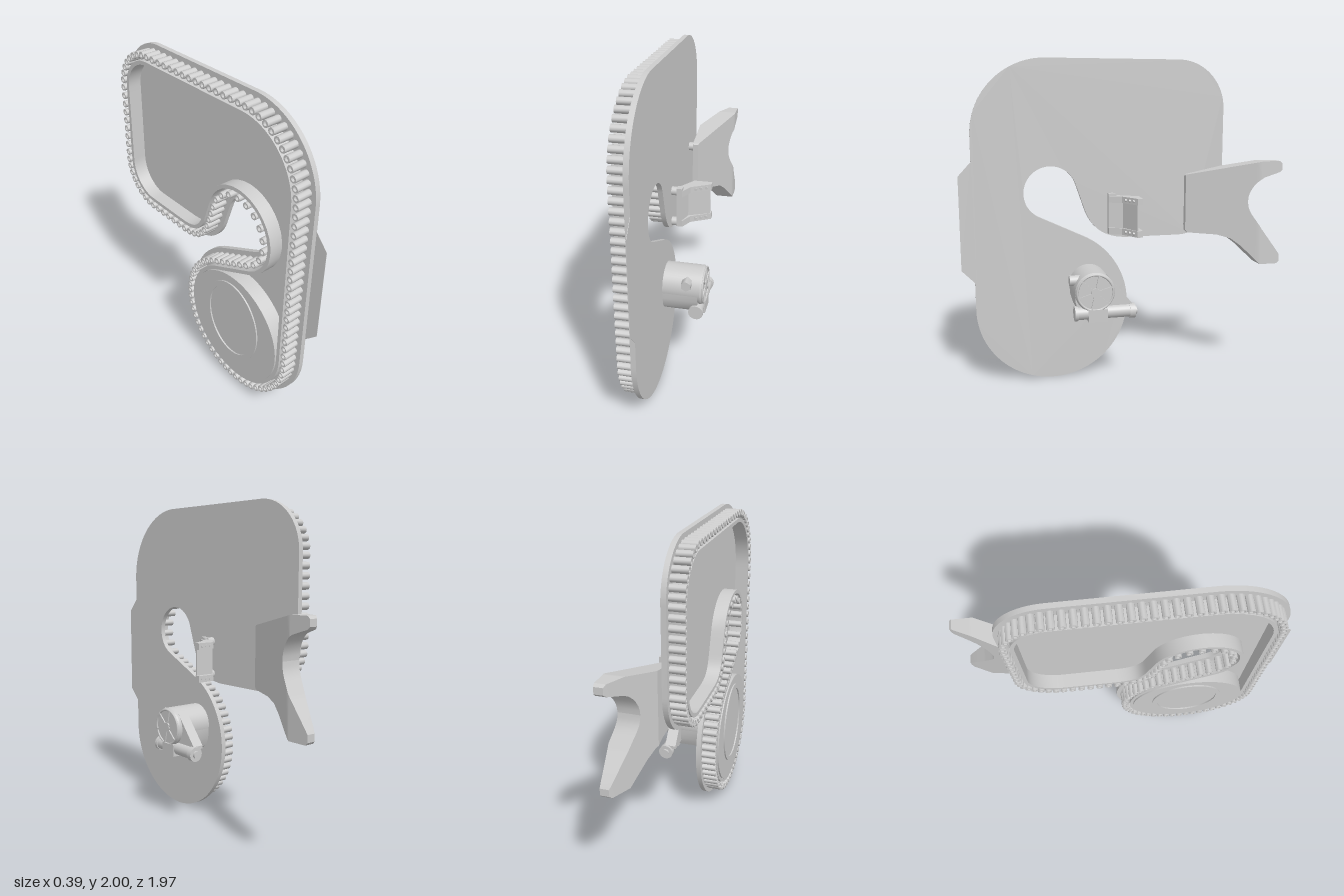
import * as THREE from 'three';
import { mergeGeometries, toCreasedNormals } from 'three/addons/utils/BufferGeometryUtils.js';

const material = new THREE.MeshStandardMaterial({ color: 0xcccccc });

function add(parent, name, geometry) {
  const mesh = new THREE.Mesh(geometry, material);
  mesh.name = name;
  parent.add(mesh);
  return mesh;
}

const polygon = points => new THREE.Shape(points.map(p => new THREE.Vector2(...p)));

// Side profile in (-z, y), extruded from x0 to x1
function slab(shape, x0, x1) {
  const g = new THREE.ExtrudeGeometry(shape, { depth: x1 - x0, bevelEnabled: false, curveSegments: 32 });
  return toCreasedNormals(g.rotateY(Math.PI / 2).translate(x0, 0, 0), 0.5);
}

// Cylinder along 'x' or 'z', starting at (x, y, z)
function rod(axis, r, length, x, y, z, sides = 24, r2 = r) {
  const g = new THREE.CylinderGeometry(r2, r, length, sides).translate(0, length / 2, 0);
  if (axis === 'x') g.rotateZ(-Math.PI / 2);
  else g.rotateX(Math.PI / 2);
  return g.translate(x, y, z);
}

function box(x0, x1, y0, y1, z0, z1) {
  return new THREE.BoxGeometry(x1 - x0, y1 - y0, z1 - z0)
    .translate((x0 + x1) / 2, (y0 + y1) / 2, (z0 + z1) / 2);
}

// Skin through rings that advance towards -z, with end caps
function loft(rings) {
  const k = rings[0].length, index = [];
  const last = (rings.length - 1) * k;
  for (let i = 0; i < rings.length - 1; i++) {
    for (let j = 0; j < k; j++) {
      const a = i * k + j, b = i * k + (j + 1) % k;
      index.push(a, a + k, b, b, a + k, b + k);
    }
  }
  for (let j = 1; j < k - 1; j++) index.push(0, j, j + 1, last, last + j + 1, last + j);
  const g = new THREE.BufferGeometry();
  g.setAttribute('position', new THREE.Float32BufferAttribute(rings.flat(2), 3));
  g.setIndex(index);
  return toCreasedNormals(g, 0.4);
}

// Linear interpolation in a list of [z, value] with falling z
function lerp(table, z) {
  for (let i = 1; i < table.length; i++) {
    const [z0, v0] = table[i - 1], [z1, v1] = table[i];
    if (z >= z1) return v0 + (v1 - v0) * (z0 - z) / (z0 - z1);
  }
  return table[table.length - 1][1];
}

// Contour of the plate, running clockwise
function contour() {
  const s = new THREE.Shape();
  s.moveTo(-0.45, 2);
  s.lineTo(0.38, 2);
  s.absarc(0.38, 1.7, 0.3, Math.PI / 2, 0, true);
  s.absarc(0.38, 1.195, 0.3, 0, -Math.PI / 2, true);
  s.lineTo(0.06, 0.895);
  s.bezierCurveTo(-0.11, 0.895, -0.19, 0.97, -0.23, 1.1);
  s.absarc(-0.435, 1.19, 0.165, 0.33, 4.28, false);
  s.absarc(-0.43, 0.477, 0.477, 1.14, -Math.PI, true);
  s.lineTo(-0.907, 1.543);
  s.absarc(-0.45, 1.543, 0.457, Math.PI, Math.PI / 2, true);
  return s;
}

// Points evenly spaced on the contour, moved inwards
function inset(path, distance, count) {
  return Array.from({ length: count }, (_, i) => {
    const t = (i + 0.5) / count;
    const p = path.getPoint(t), d = path.getTangent(t);
    return new THREE.Vector2(p.x + d.y * distance, p.y - d.x * distance);
  });
}

function buildTrack(root) {
  const path = contour();
  add(root, 'plate', slab(path, -0.095, -0.065));
  // Thin tab on the front edge, flush with the outer face
  const tab = polygon([[-0.907, 0.65], [-0.985, 0.73], [-0.985, 1.305], [-0.907, 1.39]]);
  add(root, 'edgeTab', slab(tab, -0.067, -0.065));

  // Hollow-ended rollers along the edge
  const profile = [[0.021, 0], [0.021, 0.09], [0.012, 0.09], [0.012, 0.075], [0, 0.075]];
  const roller = toCreasedNormals(
    new THREE.LatheGeometry(profile.map(p => new THREE.Vector2(...p)), 12).rotateZ(Math.PI / 2), 0.7);
  const spots = inset(path, 0.047, Math.round(path.getLength() / 0.056));
  add(root, 'rollers', mergeGeometries(spots.map(p => roller.clone().translate(-0.095, p.y, -p.x))));

  // Guide wall inside the roller row; the hole runs against the outline
  const wall = new THREE.Shape(inset(path, 0.082, 240));
  wall.holes.push(new THREE.Path(inset(path, 0.105, 240).reverse()));
  add(root, 'guideWall', slab(wall, -0.18, -0.095));

  // Round cover with a plain raised ring
  add(root, 'cover', rod('x', 0.37, 0.095, -0.188, 0.477, 0.43, 64));
  const ring = new THREE.Shape().absellipse(-0.42, 0.515, 0.23, 0.28, 0, Math.PI * 2);
  ring.holes.push(new THREE.Path().absellipse(-0.42, 0.515, 0.2, 0.25, 0, Math.PI * 2));
  add(root, 'coverRing', slab(ring, -0.197, -0.188));
}

function buildFork(root) {
  const fork = new THREE.Group();
  fork.name = 'fork';
  root.add(fork);
  const outer = [[-0.415, 0], [-0.845, 0.177], [-0.985, 0.177]];
  const inner = [[-0.415, -0.035], [-0.66, -0.035], [-0.97, 0.115], [-0.985, 0.125]];
  const top = [[-0.415, 1.285], [-0.425, 1.292], [-0.86, 1.38], [-0.97, 1.38], [-0.985, 1.365]];
  const bottom = [[-0.415, 0.935], [-0.43, 0.92], [-0.6, 0.912], [-0.68, 0.89], [-0.74, 0.845],
    [-0.855, 0.728], [-0.97, 0.728], [-0.985, 0.743]];
  const crotchTop = [[-0.775, 1.13], [-0.778, 1.16], [-0.785, 1.185], [-0.8, 1.215], [-0.82, 1.243],
    [-0.845, 1.265], [-0.87, 1.28], [-0.97, 1.311], [-0.985, 1.325]];
  const crotchBottom = [[-0.775, 1.13], [-0.778, 1.1], [-0.785, 1.075], [-0.8, 1.045], [-0.82, 1.015],
    [-0.86, 0.955], [-0.97, 0.808], [-0.985, 0.785]];
  const piece = (zs, low, high) => loft(zs.map(z => {
    const a = lerp(inner, z), b = lerp(outer, z), lo = lerp(low, z), hi = lerp(high, z);
    return [[a, lo, z], [b, lo, z], [b, hi, z], [a, hi, z]];
  }));
  const body = [-0.415, -0.425, -0.43, -0.5, -0.6, -0.64, -0.66, -0.68, -0.74, -0.775];
  const prong = [-0.775, -0.778, -0.785, -0.8, -0.82, -0.845, -0.855, -0.86, -0.87, -0.92, -0.97, -0.985];
  add(fork, 'forkBody', piece(body, bottom, top));
  add(fork, 'upperProng', piece(prong, crotchTop, top));
  add(fork, 'lowerProng', piece(prong, bottom, crotchBottom));
  for (const y of [1.26, 0.965]) add(fork, 'forkPin', rod('x', 0.027, 0.05, -0.07, y, -0.45));
}

function buildBracket(root) {
  const bracket = new THREE.Group();
  bracket.name = 'bracket';
  root.add(bracket);
  // Plan outline in (x, -z), standing from y0 to y1
  const prism = (points, y0, y1) => new THREE.ExtrudeGeometry(
    polygon(points.map(([x, z]) => [x, -z])),
    { depth: y1 - y0, bevelEnabled: false }).rotateX(-Math.PI / 2).translate(0, y0, 0);
  const web = [[-0.03, 0.085], [-0.03, 0.02], [0.03, -0.068], [0.152, -0.068], [0.152, -0.06],
    [0.025, 0], [0, 0.085]];
  const flange = [[-0.03, 0.085], [-0.03, 0.02], [0.045, -0.095], [0.158, -0.095], [0.158, -0.06],
    [0.04, 0.01], [0.005, 0.085]];
  add(bracket, 'bracketWeb', prism(web, 0.97, 1.13));
  for (const y of [0.932, 1.13]) {
    add(bracket, 'bracketFlange', prism(flange, y, y + 0.04));
    // Bolts pass through to the sloping front of the flange
    for (const x of [0.07, 0.1, 0.13]) {
      const front = -0.06 + (0.158 - x) * 0.593;
      add(bracket, 'bracketBolt', rod('z', 0.009, front + 0.104, x, y + 0.02, -0.098, 12));
    }
  }
  add(bracket, 'bracketLug', box(-0.03, 0.005, 1.17, 1.185, 0.04, 0.085));
  for (const y of [1.155, 0.95]) add(bracket, 'bracketPin', rod('x', 0.027, 0.05, -0.07, y, 0.05));
}

function buildMotor(root) {
  const motor = new THREE.Group();
  motor.name = 'motor';
  root.add(motor);
  const cy = 0.61, cz = 0.205;
  add(motor, 'drum', rod('x', 0.122, 0.23, -0.065, cy, cz, 48));
  add(motor, 'drumCap', rod('x', 0.122, 0.012, 0.165, cy, cz, 48, 0.114));
  add(motor, 'hub', rod('x', 0.028, 0.012, 0.175, cy, cz));
  for (let i = 0; i < 6; i++) {
    const spoke = add(motor, 'spoke', box(0.174, 0.185, -0.005, 0.005, 0.02, 0.112));
    spoke.position.set(0, cy, cz);
    spoke.rotation.x = i * Math.PI / 3 + 0.3;
  }
  const rim = new THREE.TorusGeometry(0.11, 0.007, 8, 48).rotateY(Math.PI / 2);
  add(motor, 'rim', rim.translate(0.178, cy, cz));

  // Rounded housing under the drum, and a gusset towards the rear collar
  const housing = polygon([[-0.326, 0.61], [-0.323, 0.55], [-0.305, 0.49], [-0.27, 0.455], [-0.22, 0.44],
    [-0.16, 0.44], [-0.115, 0.465], [-0.09, 0.52], [-0.084, 0.61]]);
  add(motor, 'housing', slab(housing, -0.065, 0.15));
  add(motor, 'gusset', slab(polygon([[-0.12, 0.7], [0.03, 0.52], [0.03, 0.5], [-0.2, 0.5]]), 0.08, 0.15));
  add(motor, 'gearboxFoot', box(0.11, 0.187, 0.43, 0.505, 0.13, 0.25));

  // Cross shaft with collars
  add(motor, 'shaft', rod('z', 0.04, 0.35, 0.143, 0.478, -0.02));
  add(motor, 'rearCollar', rod('z', 0.046, 0.035, 0.143, 0.475, -0.045));
  add(motor, 'rearNozzle', rod('z', 0.024, 0.03, 0.143, 0.475, -0.058));
  add(motor, 'frontCollar', rod('z', 0.046, 0.02, 0.143, 0.478, 0.31));

  // Hexagonal plug on the front
  add(motor, 'plug', rod('z', 0.033, 0.1, 0.085, 0.67, 0.25, 6));
}

export function createModel() {
  const root = new THREE.Group();
  root.name = 'trackPanel';
  buildTrack(root);
  buildFork(root);
  buildBracket(root);
  buildMotor(root);
  return root;
}
